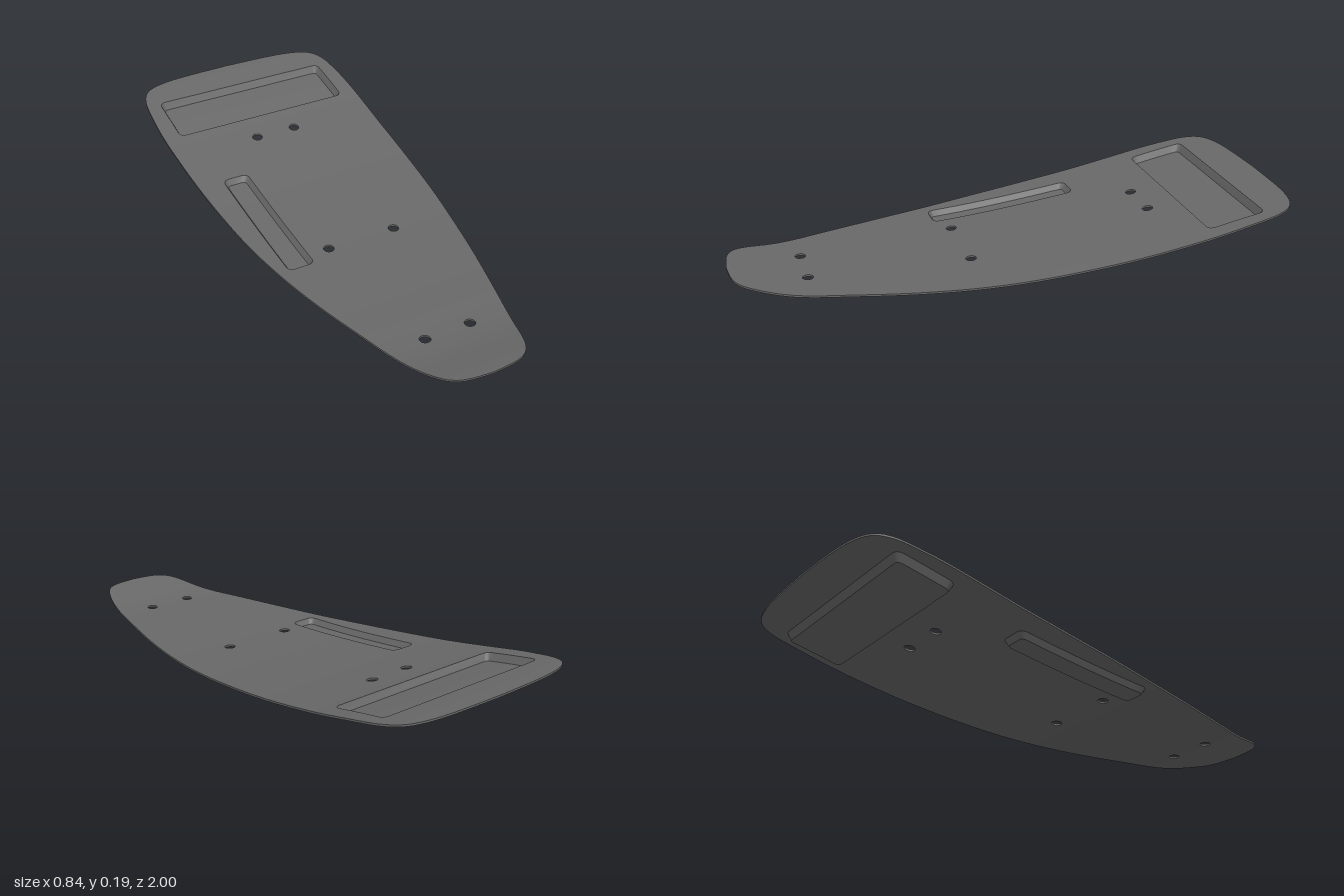
import * as THREE from 'three';
import { toCreasedNormals } from 'three/addons/utils/BufferGeometryUtils.js';

const T = 0.007; // sheet thickness
const STEP = 0.04; // length of the bending strips

// Height of the deck's top, at even steps from back (z = -1) to nose (z = 1)
const heights = [0.187, 0.158, 0.121, 0.088, 0.063, 0.043, 0.029, 0.023, 0.022, 0.025, 0.057];
const profile = new THREE.SplineCurve(heights.map((y, i) => new THREE.Vector2(i * 0.2 - 1, y)));
const heightAt = (z) => profile.getPoint(THREE.MathUtils.clamp((z + 1) / 2, 0, 1)).y;

// Keep the part of a polygon on one side of a plane across z
function clip(poly, z, sign) {
  const out = [];
  poly.forEach((a, i) => {
    const b = poly[(i + 1) % poly.length];
    const da = (a.z - z) * sign;
    const db = (b.z - z) * sign;
    if (da >= 0) out.push(a);
    if (da * db < 0) out.push(a.clone().lerp(b, da / (da - db)));
  });
  return out;
}

// Cut flat triangles into strips across z, then bend them along the profile
function bend(triangles) {
  const pos = [];
  for (const tri of triangles) {
    const zs = tri.map((p) => p.z);
    const first = Math.floor(Math.min(...zs) / STEP);
    const last = Math.floor(Math.max(...zs) / STEP);
    for (let k = first; k <= last; k++) {
      const poly = clip(clip(tri, k * STEP, 1), (k + 1) * STEP, -1);
      for (let i = 1; i + 1 < poly.length; i++) {
        for (const p of [poly[0], poly[i], poly[i + 1]]) pos.push(p.x, p.y + heightAt(p.z), p.z);
      }
    }
  }
  const geo = new THREE.BufferGeometry();
  geo.setAttribute('position', new THREE.Float32BufferAttribute(pos, 3));
  return toCreasedNormals(geo, 0.5);
}

function trianglesOf(geometry) {
  const p = (geometry.index ? geometry.toNonIndexed() : geometry).attributes.position;
  const v = Array.from({ length: p.count }, (_, i) => new THREE.Vector3().fromBufferAttribute(p, i));
  return Array.from({ length: v.length / 3 }, (_, i) => v.slice(i * 3, i * 3 + 3));
}

// Rounded rectangle as points (x, -z), counter-clockwise from above
function roundedRect({ x0, x1, z0, z1 }, inset) {
  const r = 0.022 - inset * 0.6;
  const cx = (x0 + x1) / 2, cy = -(z0 + z1) / 2;
  const w = (x1 - x0) / 2 - inset - r, h = (z1 - z0) / 2 - inset - r;
  const pts = [];
  [[1, 1], [-1, 1], [-1, -1], [1, -1]].forEach(([sx, sy], q) => {
    for (let i = 0; i <= 5; i++) {
      const a = (q + i / 5) * Math.PI / 2;
      pts.push(new THREE.Vector2(cx + sx * w + r * Math.cos(a), cy + sy * h + r * Math.sin(a)));
    }
  });
  return pts;
}

// Pressed pan with sloping walls, hanging below the deck
function panGeometry(rect) {
  const loop = (inset, y) => roundedRect(rect, inset).map((p) => new THREE.Vector3(p.x, y, -p.y));
  const tris = [];
  const wall = (low, high) => low.forEach((a, i) => {
    const j = (i + 1) % low.length;
    tris.push([a, low[j], high[j]], [a, high[j], high[i]]);
  });
  const cap = (ring, up) => {
    const c = new THREE.Vector3((rect.x0 + rect.x1) / 2, ring[0].y, (rect.z0 + rect.z1) / 2);
    ring.forEach((a, i) => {
      const b = ring[(i + 1) % ring.length];
      tris.push(up ? [c, a, b] : [c, b, a]);
    });
  };
  const rim = loop(0, 0), floor = loop(0.013, T - rect.depth);
  const outerTop = loop(-0.004, -T), outerBottom = loop(0.009, -rect.depth);
  wall(rim, floor);
  cap(floor, true);
  wall(outerBottom, outerTop);
  cap(outerBottom, false);
  return bend(tris);
}

export function createModel() {
  const model = new THREE.Group();
  model.name = 'deck';
  const grey = new THREE.MeshStandardMaterial({ color: 0x696969 });
  grey.name = 'dark grey';

  const add = (name, geometry) => {
    const mesh = new THREE.Mesh(geometry, grey);
    mesh.name = name;
    model.add(mesh);
  };

  const pans = {
    rearPan: { x0: -0.355, x1: 0.355, z0: -0.86, z1: -0.645, depth: 0.034 },
    sidePan: { x0: -0.312, x1: -0.212, z0: -0.344, z1: 0.212, depth: 0.028 },
  };

  // Outline of the left half from back to nose, mirrored for the right
  const half = [
    [0, -1], [0.2, -0.994], [0.31, -0.978], [0.37, -0.948], [0.4, -0.895], [0.412, -0.82],
    [0.42, -0.68], [0.417, -0.5], [0.406, -0.25], [0.385, 0], [0.355, 0.2], [0.315, 0.4],
    [0.265, 0.6], [0.205, 0.82], [0.172, 0.915], [0.137, 0.967], [0.085, 0.991], [0, 1],
  ];
  const curve = new THREE.SplineCurve(half.map(([x, z]) => new THREE.Vector2(x, -z)));
  const edge = curve.getPoints(85);
  const mirrored = edge.slice(1, -1).reverse().map((p) => new THREE.Vector2(-p.x, p.y));
  const outline = new THREE.Shape([...edge, ...mirrored]);

  // Bolt holes in pairs, and the openings of the pans
  for (const [x, z] of [[0.08, -0.53], [0.132, 0.165], [0.086, 0.735]]) {
    for (const side of [-1, 1]) {
      outline.holes.push(new THREE.Path().absarc(side * x, -z, 0.019, 0, Math.PI * 2));
    }
  }
  for (const rect of Object.values(pans)) outline.holes.push(new THREE.Path(roundedRect(rect, 0)));

  const flat = new THREE.ExtrudeGeometry(outline, { depth: T, bevelEnabled: false, curveSegments: 20 });
  flat.rotateX(-Math.PI / 2).translate(0, -T, 0);
  add('deckPlate', bend(trianglesOf(flat)));

  for (const [name, rect] of Object.entries(pans)) add(name, panGeometry(rect));

  // Stand the model on the ground
  const box = new THREE.Box3().setFromObject(model);
  model.position.y = -box.min.y;
  return model;
}
